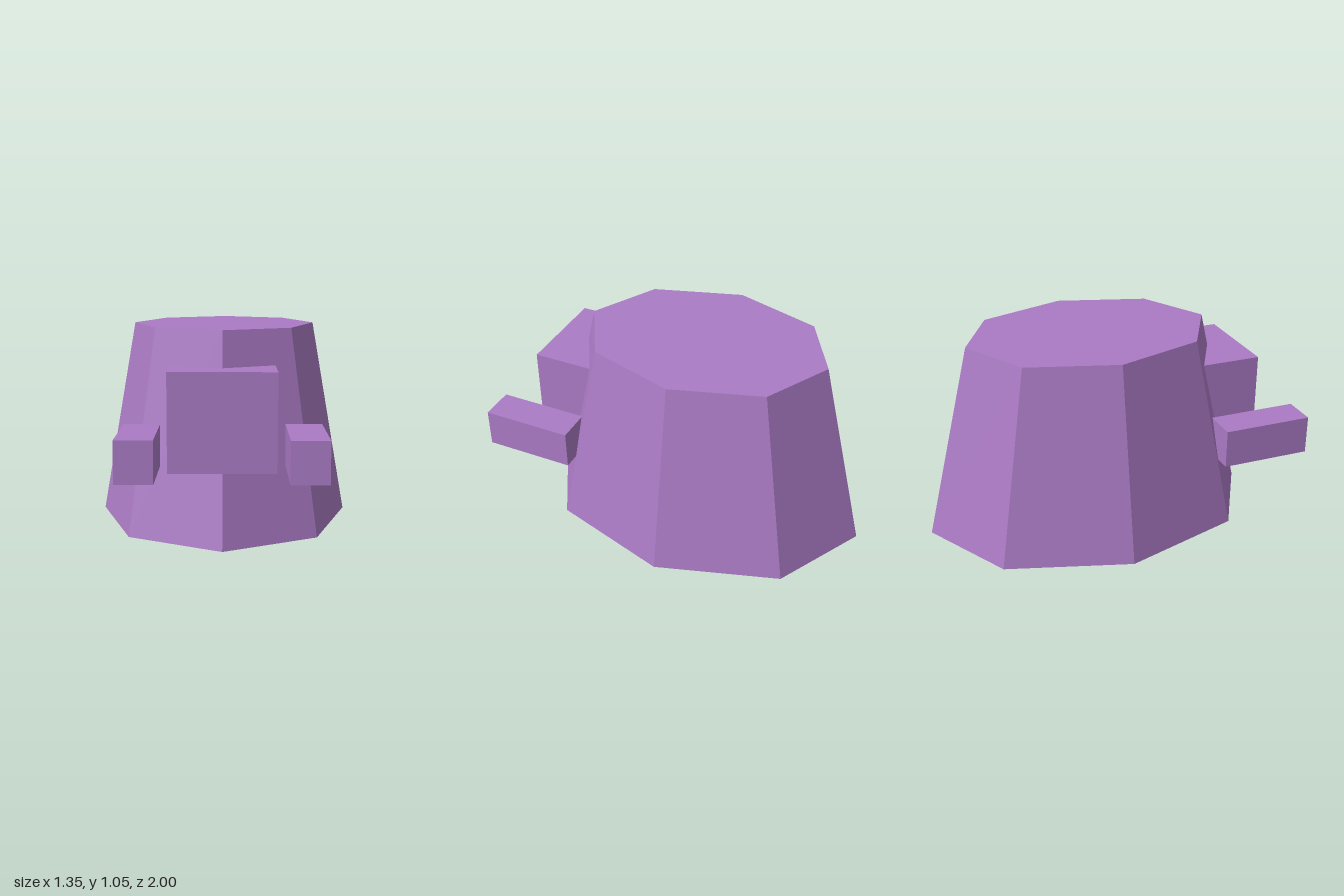
import * as THREE from 'three';

export function createModel() {
  const model = new THREE.Group();
  const purple = new THREE.MeshStandardMaterial({ name: 'purple', color: 0xab7bc5, flatShading: true });

  function add(name, geometry, x, y, z) {
    const mesh = new THREE.Mesh(geometry, purple);
    mesh.name = name;
    mesh.position.set(x, y, z);
    model.add(mesh);
    return mesh;
  }

  // Tapered eight-sided body, stretched front to back
  const body = new THREE.CylinderGeometry(0.727, 1, 1.05, 8);
  body.scale(0.675, 1, 0.915);
  add('body', body, 0, 0.525, -0.085);

  // Square snout set into the front
  add('snout', new THREE.BoxGeometry(0.53, 0.49, 0.49), 0, 0.622, 0.555);

  // Arms reaching forward on both sides
  for (const [name, side] of [['leftArm', 1], ['rightArm', -1]]) {
    add(name, new THREE.BoxGeometry(0.185, 0.208, 0.488), side * 0.408, 0.47, 0.756);
  }

  return model;
}
